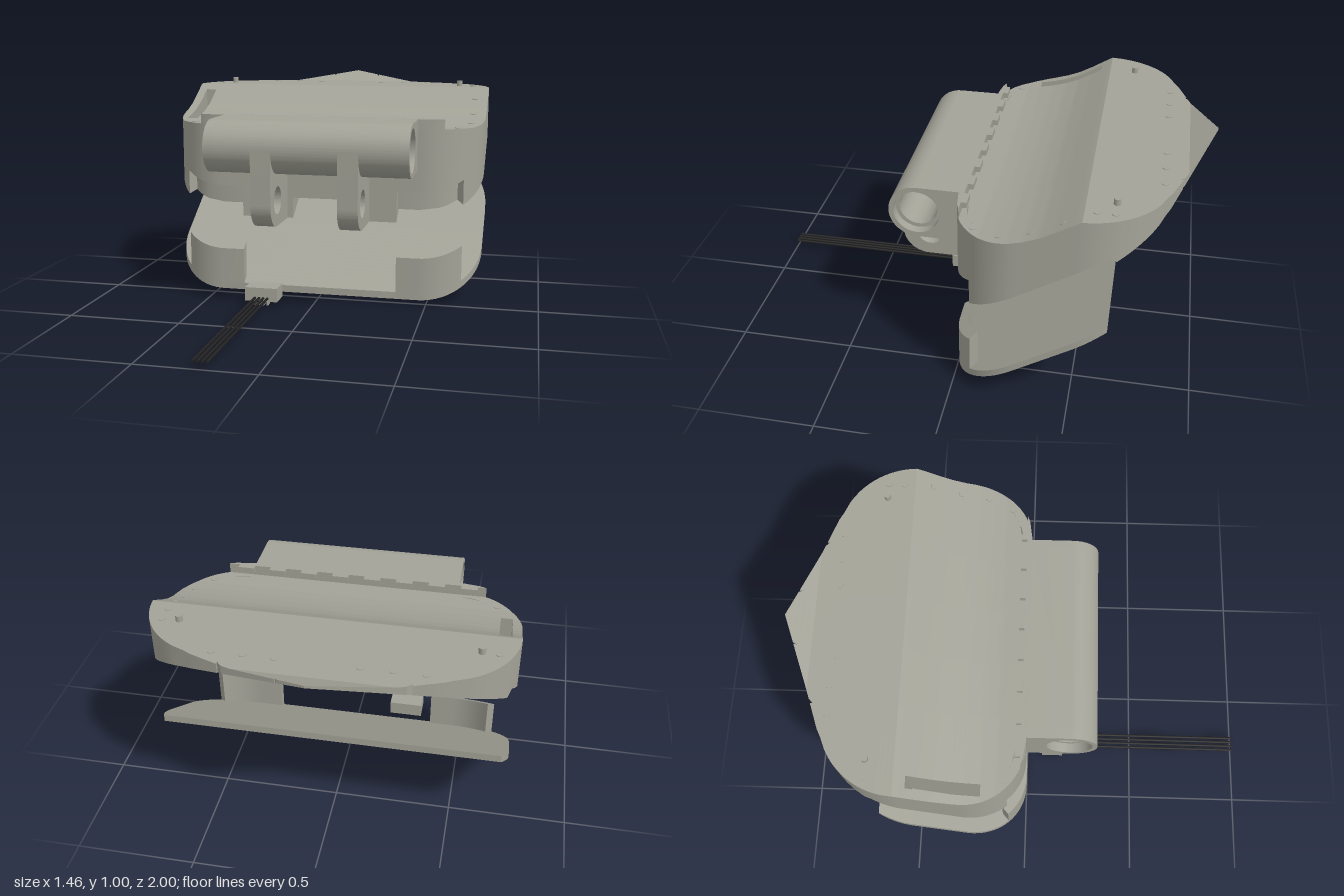
import * as THREE from 'three';
import { toCreasedNormals } from 'three/addons/utils/BufferGeometryUtils.js';

const grey = new THREE.MeshStandardMaterial({ color: 0xa3a398 });
grey.name = 'shell grey';
const black = new THREE.MeshStandardMaterial({ color: 0x222222 });
black.name = 'wire black';

// Plan outline: corner centre and radii of the front corners
const CX = 0.46, CZ = -0.27, R = 0.27, RI = 0.23;
const SPLIT = CZ + RI * Math.SQRT1_2;
const frontArc = (z, r) => CX + Math.sqrt(Math.max(0, r * r - (z - CZ) ** 2));

// Half width of the outline at depth z
function width(z) {
  if (z < -0.814) return (1 + z) / 0.36;
  if (z < -0.5) return 0.4 + Math.sqrt(Math.max(0, 0.33 ** 2 - (z + 0.5) ** 2));
  return z < CZ ? 0.73 : frontArc(z, R);
}

// Piecewise linear height profile over z
const profile = (pts) => (z) => {
  let i = 1;
  while (i < pts.length - 1 && z > pts[i][0]) i++;
  const [a, b] = [pts[i - 1], pts[i]];
  return a[1] + (b[1] - a[1]) * (z - a[0]) / (b[0] - a[0]);
};
const top = profile([[-1, 1], [-0.89, 0.95], [-0.515, 0.95], [-0.5, 0.942], [-0.42, 0.893],
  [-0.36, 0.86], [-0.3, 0.836], [-0.24, 0.819], [-0.18, 0.807], [-0.12, 0.8], [0, 0.8]]);
const under = profile([[-1, 0.99], [-0.65, 0.768], [-0.62, 0.79], [0, 0.405]]);
const underMid = profile([[-1, 0.99], [-0.65, 0.768], [-0.62, 0.79], [0, 0.375]]);
const plateTop = (z) => 0.05 - 0.645 * z;
const plateBot = (z) => 0.018 - 0.645 * z;

// Solid lofted through stations [xa, za, xb, zb] between two height profiles
function loft(stations, hi, lo) {
  const rings = stations.map(([xa, za, xb, zb]) => [
    [xa, hi(za), za], [xb, hi(zb), zb], [xb, lo(zb), zb], [xa, lo(za), za]]);
  const pos = [];
  const quad = (a, b, c, d) => pos.push(...a, ...b, ...c, ...a, ...c, ...d);
  for (let i = 0; i < rings.length - 1; i++) {
    const p = rings[i], q = rings[i + 1];
    for (let k = 0; k < 4; k++) quad(p[k], q[k], q[(k + 1) % 4], p[(k + 1) % 4]);
  }
  const f = rings[0], l = rings[rings.length - 1];
  quad(f[0], f[1], f[2], f[3]);
  quad(l[0], l[3], l[2], l[1]);
  const g = new THREE.BufferGeometry();
  g.setAttribute('position', new THREE.Float32BufferAttribute(pos, 3));
  return toCreasedNormals(g, 0.35);
}

// Stations across z from z0 to z1, with left and right limits as functions of z
function span(z0, z1, a, b) {
  const keys = [-0.89, -0.814, -0.65, -0.62, -0.515, -0.5, -0.42, -0.36, -0.3, -0.24, -0.12];
  const zs = [z0, z1, ...keys.filter((k) => k > z0 && k < z1)];
  const n = Math.ceil((z1 - z0) / 0.02);
  for (let i = 1; i < n; i++) {
    const z = z0 + (z1 - z0) * i / n;
    if (zs.every((o) => Math.abs(o - z) > 0.004)) zs.push(z);
  }
  return zs.sort((p, q) => p - q).map((z) => [a(z), z, b(z), z]);
}

const mirror = (st) => st.map(([xa, za, xb, zb]) => [-xb, zb, -xa, za]);

// Curved corner strip, from 45 degrees round to the straight front
function cornerStrip() {
  const st = [];
  for (let i = 0; i <= 10; i++) {
    const t = Math.PI / 4 * (1 + i / 10), c = Math.cos(t), s = Math.sin(t);
    st.push([CX + RI * c, CZ + RI * s, CX + R * c, CZ + R * s]);
  }
  st.push([0.36, CZ + RI, 0.36, CZ + R]);
  return st;
}

// Side profile (drawn in -z, y) extruded along x
function sideExtrude(shape, x0, x1) {
  const g = new THREE.ExtrudeGeometry(shape, { depth: x1 - x0, bevelEnabled: false, curveSegments: 32 });
  g.rotateY(Math.PI / 2);
  g.translate(x0, 0, 0);
  return toCreasedNormals(g, 0.5);
}

function hole(shape, x, y, r) {
  const p = new THREE.Path();
  p.absarc(x, y, r, 0, Math.PI * 2, true);
  shape.holes.push(p);
  return shape;
}

export function createModel() {
  const model = new THREE.Group();
  const add = (parent, name, geo, mat = grey, x = 0, y = 0, z = 0) => {
    const m = new THREE.Mesh(geo, mat);
    m.name = name;
    m.position.set(x, y, z);
    parent.add(m);
    return m;
  };
  const part = (name) => {
    const g = new THREE.Group();
    g.name = name;
    model.add(g);
    return g;
  };
  const k = (v) => () => v;

  // Upper shell, in strips so the underside steps and the slot stay open
  const shell = part('upperShell');
  const centre = (z) => Math.min(0.12, width(z));
  add(shell, 'shellCentre', loft(span(-1, 0, (z) => -centre(z), centre), top, (z) => Math.max(underMid(z), 0.47)));
  const mid = span(-0.9568, 0, k(0.12), (z) => Math.max(0.12, Math.min(0.36, width(z))));
  add(shell, 'shellMidLeft', loft(mid, top, underMid));
  add(shell, 'shellMidRight', loft(mirror(mid), top, underMid));

  const outer = (z) => Math.max(0.36, width(z));
  add(shell, 'shellSideLeft', loft(span(-0.8704, SPLIT, k(0.36), outer), top, under));
  const slotted = [
    [-0.8704, -0.47, k(0.36), outer], [-0.47, -0.18, k(0.36), k(0.64)],
    [-0.47, -0.18, k(0.69), outer], [-0.18, SPLIT, k(0.36), outer]];
  for (const s of slotted) add(shell, 'shellSideRight', loft(mirror(span(...s)), top, under));

  // Front corners with the pockets for the plate walls
  const inner = span(SPLIT, CZ + RI, k(0.36), (z) => frontArc(z, RI));
  const xi = CX + RI * Math.SQRT1_2, fan = [];
  for (let i = 0; i <= 4; i++) {
    const t0 = Math.asin((SPLIT - CZ) / R), t = t0 + (Math.PI / 4 - t0) * i / 4;
    fan.push([xi, SPLIT, CX + R * Math.cos(t), CZ + R * Math.sin(t)]);
  }
  const pocketTop = (z) => 0.517 - 0.65 * z;
  for (const flip of [(s) => s, mirror]) {
    add(shell, 'cornerCore', loft(flip(inner), top, under));
    add(shell, 'cornerFill', loft(flip(fan), top, under));
    add(shell, 'cornerAbovePocket', loft(flip(cornerStrip()), top, pocketTop));
  }

  // Toothed strip along the front edge
  const edge = part('toothedEdge');
  add(edge, 'edgeStrip', loft(span(-0.022, 0, (z) => -width(z), width), k(0.845), k(0.795)));
  for (let i = 0; i < 8; i++) {
    add(edge, 'edgeTooth', new THREE.BoxGeometry(0.07, 0.025, 0.025), grey, -0.495 + 0.14 * i, 0.8325, -0.0325);
  }

  // Screw marks and locating pins on the top
  const fittings = part('topFittings');
  const marks = [[-0.65, -0.63], [0.65, -0.63], [0.65, -0.56], [0.67, -0.44], [0.67, -0.32],
    [0.67, -0.2], [0.62, -0.09], [-0.62, -0.09]];
  for (const x of [0.16, 0.28, 0.4]) marks.push([x, -0.8], [-x, -0.8]);
  for (const [x, z] of marks) {
    const m = add(fittings, 'screwMark', new THREE.CylinderGeometry(0.015, 0.015, 0.005, 16), grey, x, top(z), z);
    m.rotation.x = -Math.atan2(top(z + 0.01) - top(z - 0.01), 0.02);
  }
  for (const x of [-0.585, 0.58]) {
    add(fittings, 'locatingPin', new THREE.CylinderGeometry(0.014, 0.014, 0.04, 16), grey, x, 0.956, -0.63);
  }

  // Bored barrel at the front, counterbored at both ends
  const hinge = part('hingeBlock');
  const barrel = (r) => {
    const s = new THREE.Shape();
    s.moveTo(0, 0.61);
    s.lineTo(0, 0.845);
    s.lineTo(-0.18, 0.845);
    s.absarc(-0.18, 0.7275, 0.1175, Math.PI / 2, Math.PI * 1.5, false);
    return hole(s, -0.18, 0.7275, r);
  };
  add(hinge, 'barrel', sideExtrude(barrel(0.08), -0.41, 0.41));
  add(hinge, 'barrelEndRight', sideExtrude(barrel(0.097), -0.45, -0.41));
  add(hinge, 'barrelEndLeft', sideExtrude(barrel(0.097), 0.41, 0.45));

  // Two drilled lugs below the barrel
  const lug = new THREE.Shape();
  lug.moveTo(0, 0.375);
  lug.lineTo(0, 0.62);
  lug.lineTo(-0.18, 0.62);
  lug.lineTo(-0.18, 0.7275 - 0.0985);
  lug.absarc(-0.18, 0.7275, 0.0985, Math.PI * 1.5, Math.PI, true);
  lug.lineTo(-0.2975, 0.7275);
  lug.lineTo(-0.2975, 0.485);
  lug.absarc(-0.1875, 0.485, 0.11, Math.PI, Math.PI * 1.5, false);
  hole(lug, -0.177, 0.49, 0.062);
  add(hinge, 'lugLeft', sideExtrude(lug, 0.146, 0.236));
  add(hinge, 'lugRight', sideExtrude(lug, -0.236, -0.146));

  // Sloping base plate with two curved corner walls
  const base = part('basePlate');
  add(base, 'plate', loft(span(-0.638, 0, (z) => -width(z), width), plateTop, plateBot));
  const wallTop = (z) => 0.213 - 0.66 * z;
  add(base, 'cornerWallLeft', loft(cornerStrip(), wallTop, plateBot));
  add(base, 'cornerWallRight', loft(mirror(cornerStrip()), wallTop, plateBot));

  // Connector with four wires and pins
  const plug = part('connector');
  add(plug, 'connectorBody', new THREE.BoxGeometry(0.15, 0.063, 0.1), grey, -0.23, 0.0485, 0.12);
  for (let i = 0; i < 4; i++) {
    const x = -0.258 + 0.0195 * i;
    const wire = new THREE.CylinderGeometry(0.006, 0.006, 0.83, 10).rotateX(Math.PI / 2);
    add(plug, 'wire', wire, black, x, 0.032, 0.585);
    add(plug, 'pin', new THREE.BoxGeometry(0.006, 0.02, 0.035), grey, x, 0.01, 0.155);
  }
  return model;
}
